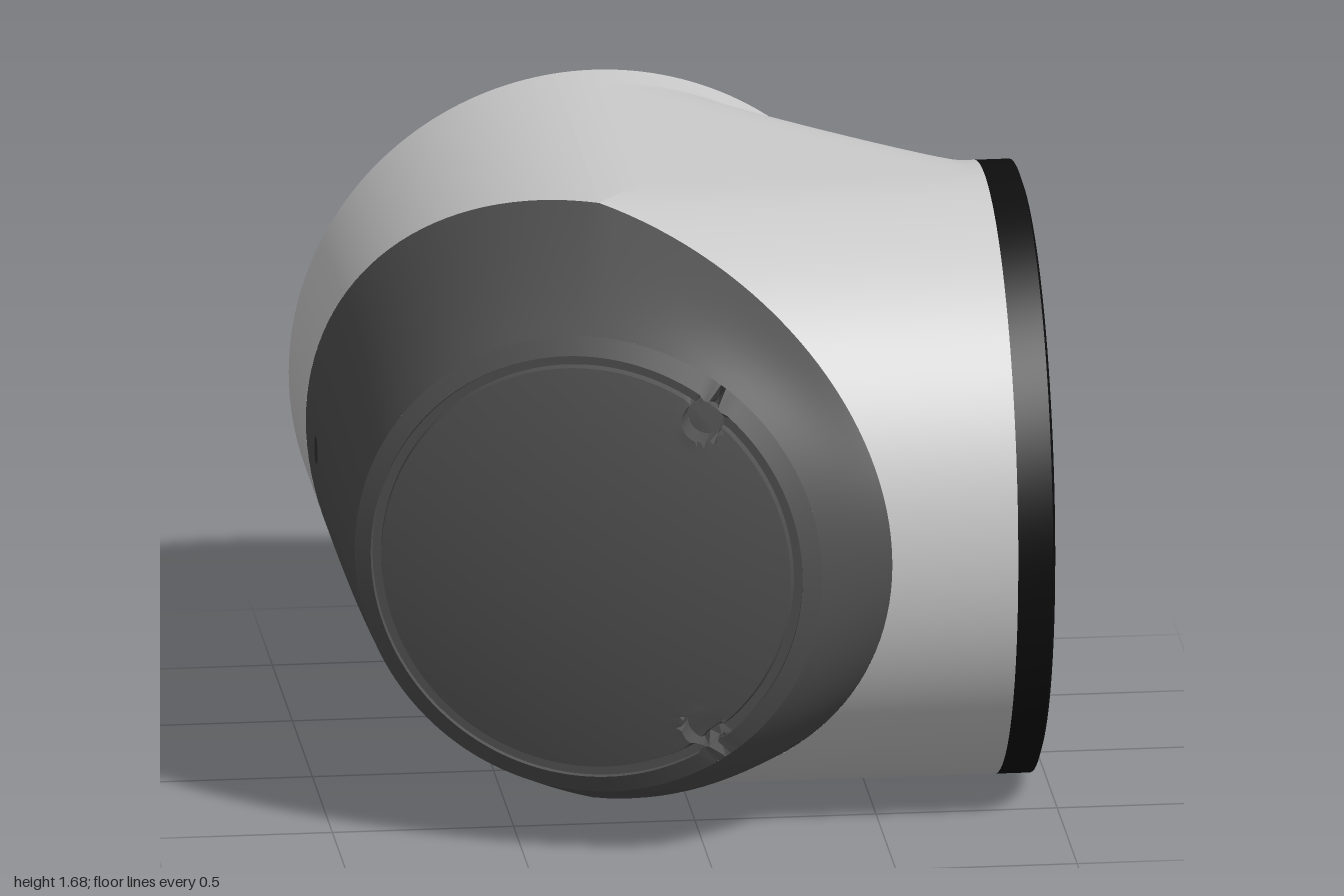
import * as THREE from 'three';
import { toCreasedNormals } from 'three/addons/utils/BufferGeometryUtils.js';

const R = 0.8425, CX = -0.1125, CY = 0.8425, CZ = 0.045; // two equal tubes, meeting at this point
const CUT = 0.385;                                       // slanted cut plane: z - x = CUT
const MIN_W = (CUT - (CZ - CX)) / 2;                     // half width where the cut meets the mitre
const MAX_A = Math.acos(MIN_W / R);                      // tube angle of that point
const V = (x, y, z) => new THREE.Vector3(x, y, z);

const material = (color) => new THREE.MeshStandardMaterial({ color, side: THREE.DoubleSide });
const shell = material(0xcccccc), dark = material(0x505050), black = material(0x0e0e0e);

function add(group, name, geometry, mat) {
  const mesh = new THREE.Mesh(geometry, mat);
  mesh.name = name;
  group.add(mesh);
  return mesh;
}

// Smooth surface through rows of points
function surface(rows) {
  const n = rows[0].length, index = [];
  for (let i = 0; i < rows.length - 1; i++) {
    for (let j = 0; j < n - 1; j++) {
      const a = i * n + j, b = a + n;
      index.push(a, b, a + 1, b, b + 1, a + 1);
    }
  }
  const g = new THREE.BufferGeometry().setFromPoints(rows.flat());
  g.setIndex(index);
  g.computeVertexNormals();
  return g;
}

// Rows for angles from the bottom (-90 deg) to the top (+90 deg) of the tubes
function sweep(fn, steps = 96) {
  const angles = Array.from({ length: steps + 1 }, (_, i) => (i / steps - 0.5) * Math.PI);
  angles.push(-MAX_A, MAX_A);
  return angles.sort((a, b) => a - b)
    .map((a) => fn(Math.max(0, R * Math.cos(a)), CY + R * Math.sin(a)));
}

// Inner corner of the elbow at half width w: rounded chamfer between the tubes
function innerCorner(w, y) {
  const a = V(CX + w, y, -0.885), b = V(0.81, y, CZ - w), k = 0.055;
  return new THREE.CubicBezierCurve3(a, V(a.x, y, a.z + k), V(b.x - k, y, b.z), b).getPoints(14);
}

function buildShell() {
  const g = new THREE.Group();
  g.name = 'elbowShell';
  add(g, 'sideTubeOuter', surface(sweep((w, y) => {
    const x = w > MIN_W ? CZ + w - CUT : CX - w;
    return [V(0.85, y, CZ + w), V(x, y, CZ + w)];
  })), shell);
  add(g, 'backTubeOuter', surface(sweep((w, y) => {
    const z = w > MIN_W ? CX - w + CUT : CZ + w;
    return [V(CX - w, y, z), V(CX - w, y, -1)];
  })), shell);
  add(g, 'innerElbow', surface(sweep((w, y) =>
    [V(CX + w, y, -1), ...innerCorner(w, y), V(0.85, y, CZ - w)])), shell);
  // Flat webs where the tubes touch the top and bottom planes
  for (const s of [-1, 1]) {
    const edge = innerCorner(0, CY + s * R);
    add(g, s > 0 ? 'topWeb' : 'bottomWeb',
      surface([edge.map(() => V(CX, CY + s * R, CZ)), edge]), shell);
  }
  const back = add(g, 'backEnd', new THREE.CircleGeometry(R, 96), shell);
  back.rotation.y = Math.PI;
  back.position.set(CX, CY, -1);
  return g;
}

// Presses a round, straight-walled pit into the face around (cx, cz)
function pressPit(position, cx, cz, radius, depth) {
  for (let i = 0; i < position.count; i++) {
    const dx = position.getX(i) - cx, dz = position.getZ(i) - cz, d = Math.hypot(dx, dz);
    if (d > radius + 0.012) continue;
    const inside = d < radius;
    // Vertices near the edge move onto it, which keeps the pit round
    const k = inside ? (d > radius - 0.02 ? (radius - 0.001) / d : 1) : radius / d;
    position.setX(i, cx + dx * k);
    position.setZ(i, cz + dz * k);
    if (inside) position.setY(i, position.getY(i) - depth);
  }
}

function buildCover() {
  const g = new THREE.Group();
  g.name = 'cover';
  const tilt = 0.315;
  const e1 = V(Math.cos(tilt), 0, Math.sin(tilt)), n = V(-Math.sin(tilt), 0, Math.cos(tilt));
  const up = V(0, 1, 0), centre = V(-0.33, CY, 0.802);
  const rimR = 0.655, rimH = -0.018;

  // Side wall from the slanted cut to the round rim
  const steps = 128, rows = [];
  for (let i = 0; i <= steps; i++) {
    const t = (i / steps) * Math.PI * 2 - Math.PI / 2;
    const c = Math.cos(t), s = Math.sin(t);
    const a = Math.asin(THREE.MathUtils.clamp(s, -1, 1)) * MAX_A / (Math.PI / 2);
    const w = R * Math.cos(a), y = CY + R * Math.sin(a);
    const x = c >= 0 ? CZ + w - CUT : CX - w;
    const start = V(x, y, x + CUT);
    const dir = e1.clone().multiplyScalar(c).addScaledVector(up, s);
    const end = centre.clone().addScaledVector(dir, rimR).addScaledVector(n, rimH);
    rows.push(Array.from({ length: 13 }, (_, j) => start.clone().lerp(end, j / 12)
      .addScaledVector(dir, 0.03 * s * s * Math.sin(Math.PI * j / 12))));
  }
  add(g, 'coverWall', surface(rows), dark);

  // Bevelled rim, ring groove and domed face
  const profile = [[rimR, rimH], [0.605, 0.008], [0.602, -0.004], [0.578, -0.004], [0.573, 0.016]]
    .map(([r, h]) => new THREE.Vector2(r, h));
  for (let i = 1; i <= 46; i++) {
    const r = 0.573 * (1 - i / 46);
    profile.push(new THREE.Vector2(r, 0.083 - 0.067 * (r / 0.573) ** 2));
  }
  const face = new THREE.LatheGeometry(profile, 240);
  for (const s of [-1, 1]) pressPit(face.attributes.position, 0.326, s * 0.442, 0.056, 0.08);
  face.applyMatrix4(new THREE.Matrix4().makeBasis(e1, n, V(0, -1, 0)).setPosition(centre));
  add(g, 'coverFace', toCreasedNormals(face, 0.3), dark);

  // Small hole on the outer side
  const hole = add(g, 'sideHole', new THREE.CircleGeometry(0.04, 24), material(0x333333));
  hole.rotation.y = -Math.PI / 2;
  hole.position.set(-0.957, CY, -0.3);
  return g;
}

function buildSideEnd() {
  const g = new THREE.Group();
  g.name = 'sideEnd';
  // Seal ring standing proud of the recessed end disc
  const ring = [[R, 0.85], [R, 0.946], [0.815, 0.955], [0.8, 0.955], [0.8, 0.87]]
    .map(([r, h]) => new THREE.Vector2(r, h));
  add(g, 'sealRing', toCreasedNormals(new THREE.LatheGeometry(ring, 96), 0.25), black);
  const disc = add(g, 'endDisc', new THREE.CircleGeometry(0.8, 96), shell);
  disc.rotation.x = -Math.PI / 2;
  disc.position.y = 0.878;
  g.rotation.z = -Math.PI / 2;
  g.position.set(0, CY, CZ);
  return g;
}

export function createModel() {
  const model = new THREE.Group();
  model.name = 'elbowJoint';
  model.add(buildShell(), buildCover(), buildSideEnd());
  return model;
}
